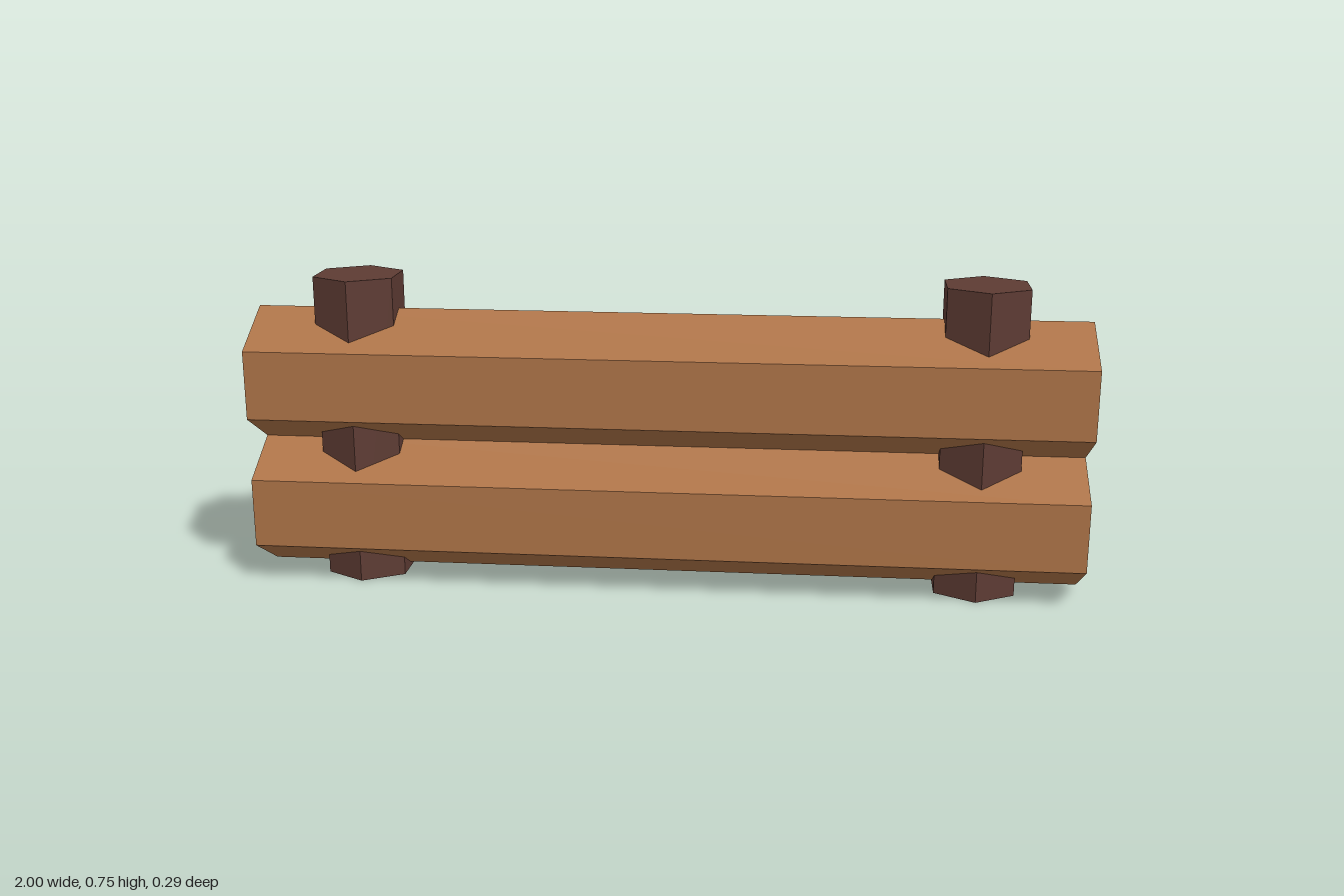
import * as THREE from 'three';

export function createModel() {
  const group = new THREE.Group();
  const railWood = new THREE.MeshStandardMaterial({ color: 0xad7347, flatShading: true });
  railWood.name = 'rail wood';
  const postWood = new THREE.MeshStandardMaterial({ color: 0x5d3b33, flatShading: true });
  postWood.name = 'post wood';

  // Horizontal six-sided rails, one edge pointing up
  const railGeometry = new THREE.CylinderGeometry(0.167, 0.167, 2, 6);
  railGeometry.rotateY(Math.PI / 6).rotateZ(Math.PI / 2);
  for (const [name, y] of [['lowerRail', 0.18], ['upperRail', 0.5]]) {
    const rail = new THREE.Mesh(railGeometry, railWood);
    rail.name = name;
    rail.position.y = y;
    group.add(rail);
  }

  // Upright six-sided posts running through the rails
  const postGeometry = new THREE.CylinderGeometry(0.111, 0.111, 0.75, 6);
  for (const [name, x] of [['leftPost', 0.75], ['rightPost', -0.75]]) {
    const post = new THREE.Mesh(postGeometry, postWood);
    post.name = name;
    post.position.set(x, 0.375, 0);
    group.add(post);
  }

  return group;
}
